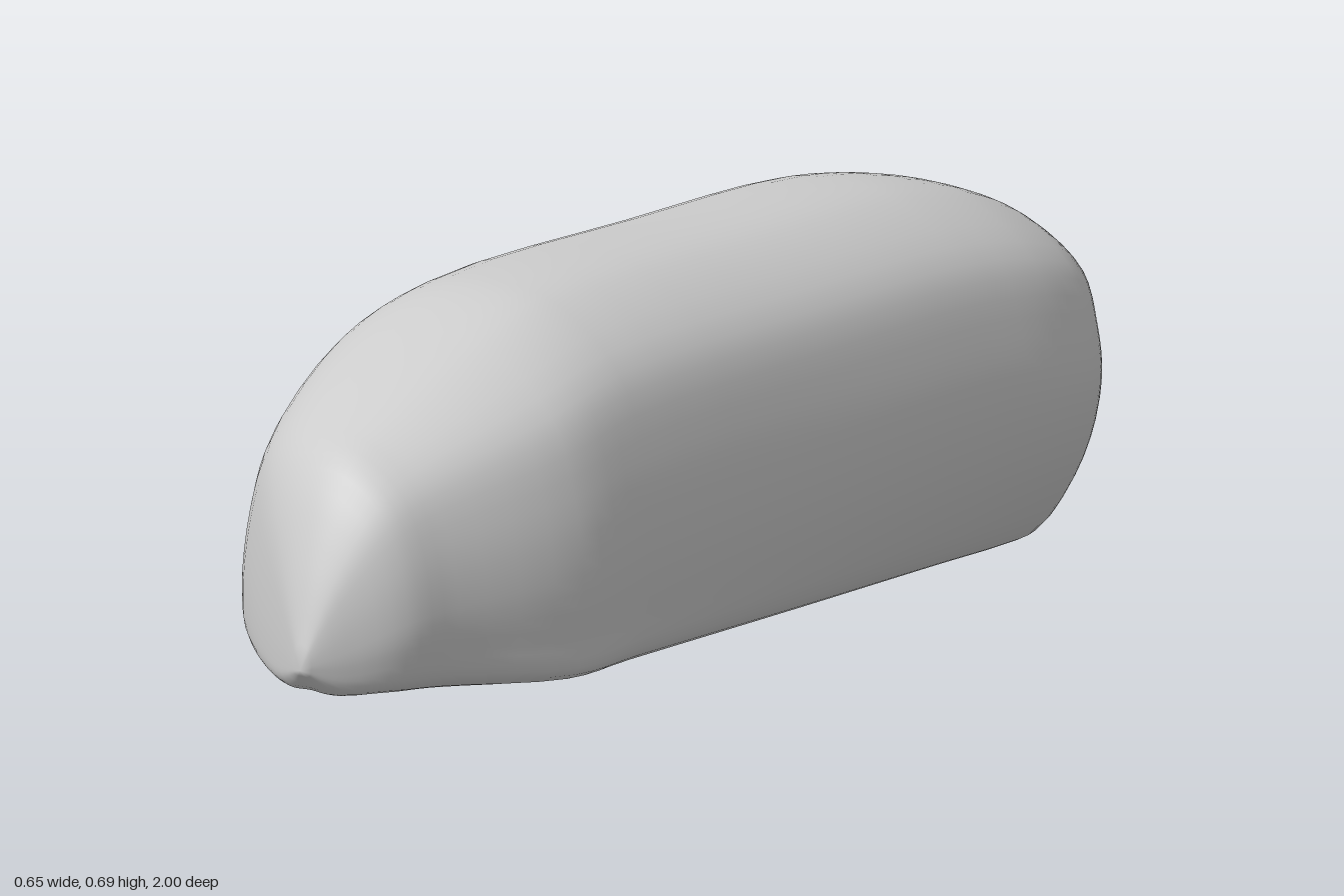
import * as THREE from 'three';
import { mergeVertices } from 'three/addons/utils/BufferGeometryUtils.js';

// Unit outlines (x from -1 to 1, y from 0 to 1), counterclockwise from bottom centre
const outlines = [
  // nose: widest low down
  [[0, 0.02], [0.5, 0.03], [0.85, 0.1], [0.97, 0.25], [1, 0.4], [0.92, 0.65], [0.72, 0.85], [0.35, 0.97],
    [0, 1], [-0.4, 0.95], [-0.7, 0.82], [-0.9, 0.55], [-1, 0.2], [-0.95, 0.06], [-0.6, 0]],
  // front of the body: flat underside with a crease on the left
  [[0, 0], [0.6, 0.03], [0.95, 0.08], [0.98, 0.19], [1, 0.38], [0.95, 0.6], [0.8, 0.82], [0.4, 0.97],
    [0, 1], [-0.4, 0.97], [-0.67, 0.88], [-0.87, 0.66], [-1, 0.36], [-0.97, 0.16], [-0.65, 0.03]],
  // rear of the body: crease moves inward, left flank slopes under
  [[0, 0], [0.55, 0], [0.63, 0.01], [0.9, 0.24], [1, 0.47], [0.95, 0.65], [0.8, 0.84], [0.4, 0.97],
    [0, 1], [-0.4, 0.97], [-0.65, 0.89], [-0.86, 0.69], [-1, 0.46], [-0.93, 0.25], [-0.5, 0.02]],
];

// Stations from nose to tail: z, min x, max x, bottom, top, outline blend
const stations = [
  [1, 0.1, 0.1, 0.24, 0.24, 0],
  [0.95, 0, 0.145, 0.185, 0.38, 0],
  [0.88, -0.12, 0.2, 0.165, 0.5, 0.1],
  [0.8, -0.21, 0.225, 0.15, 0.55, 0.4],
  [0.6, -0.295, 0.29, 0.115, 0.64, 1],
  [0.45, -0.3, 0.295, 0.1, 0.68, 1.1],
  [0, -0.31, 0.305, 0.06, 0.68, 1.45],
  [-0.4, -0.322, 0.317, 0.028, 0.67, 1.75],
  [-0.6, -0.32, 0.32, 0.011, 0.635, 1.9],
  [-0.73, -0.3, 0.3, 0, 0.592, 2],
  [-0.8, -0.275, 0.27, 0.012, 0.56, 2],
  [-0.9, -0.19, 0.2, 0.07, 0.5, 2],
  [-0.96, -0.115, 0.125, 0.15, 0.455, 2],
  [-1, 0, 0, 0.41, 0.41, 2],
];

// One lengthwise curve through the same outline point of every station
function lengthwiseCurve(index) {
  return new THREE.CatmullRomCurve3(stations.map(([z, x0, x1, y0, y1, blend]) => {
    const k = Math.min(1, Math.floor(blend));
    const a = outlines[k][index];
    const b = outlines[k + 1][index];
    const u = THREE.MathUtils.lerp(a[0], b[0], blend - k);
    const v = THREE.MathUtils.lerp(a[1], b[1], blend - k);
    return new THREE.Vector3((x0 + x1) / 2 + u * (x1 - x0) / 2, y0 + v * (y1 - y0), z);
  }));
}

// Skin the curves with closed, smooth rings
function buildShell() {
  const curves = outlines[0].map((_, i) => lengthwiseCurve(i));
  const rows = (stations.length - 1) * 4;
  const cols = curves.length * 4;
  const positions = [];
  const indices = [];
  for (let i = 0; i <= rows; i++) {
    const ring = new THREE.CatmullRomCurve3(curves.map((c) => c.getPoint(i / rows)), true);
    for (let j = 0; j < cols; j++) {
      const p = ring.getPoint(j / cols);
      positions.push(p.x, p.y, p.z);
      if (i === rows) continue;
      const a = i * cols + j;
      const b = i * cols + (j + 1) % cols;
      indices.push(a, a + cols, b, b, a + cols, b + cols);
    }
  }
  const geometry = new THREE.BufferGeometry();
  geometry.setAttribute('position', new THREE.Float32BufferAttribute(positions, 3));
  geometry.setIndex(indices);
  const merged = mergeVertices(geometry, 1e-4);
  merged.computeVertexNormals();
  return merged;
}

export function createModel() {
  const model = new THREE.Group();
  model.name = 'roundedHull';
  const shell = new THREE.Mesh(buildShell(), new THREE.MeshStandardMaterial({ color: 0xcccccc }));
  shell.name = 'shell';
  model.add(shell);
  return model;
}
